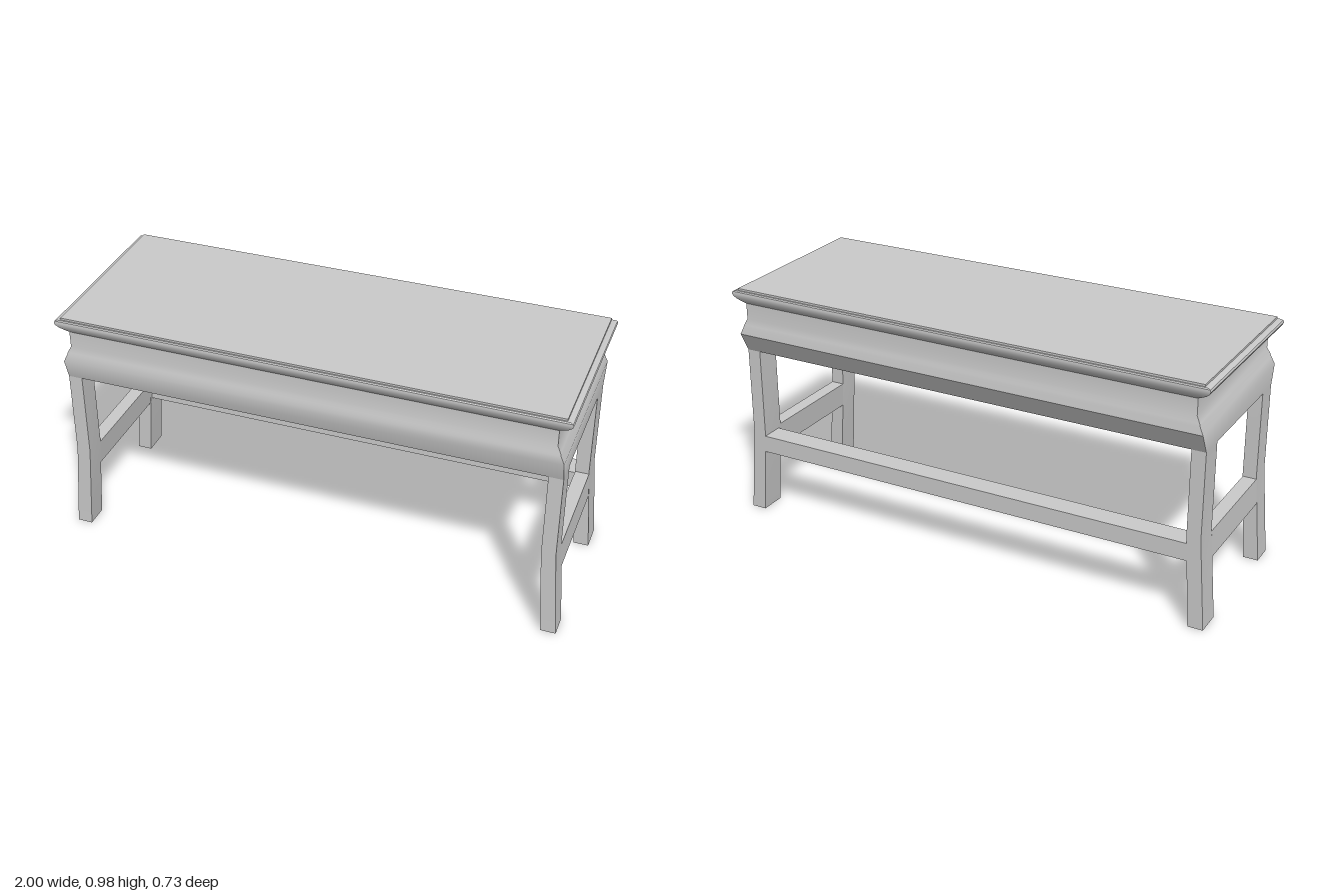
import * as THREE from 'three';
import { toCreasedNormals } from 'three/addons/utils/BufferGeometryUtils.js';

const material = new THREE.MeshStandardMaterial({ color: 0xcccccc });

// Closed solid through stacked rectangles, each [y, x0, x1, z0, z1], bottom to top
function loft(name, rings) {
  const pos = [], idx = [];
  for (const [y, x0, x1, z0, z1] of rings) {
    pos.push(x0, y, z1, x1, y, z1, x1, y, z0, x0, y, z0);
  }
  for (let r = 0; r < rings.length - 1; r++) {
    for (let i = 0; i < 4; i++) {
      const a = r * 4 + i, b = r * 4 + (i + 1) % 4;
      idx.push(a, b, b + 4, a, b + 4, a + 4);
    }
  }
  const t = (rings.length - 1) * 4;
  idx.push(0, 2, 1, 0, 3, 2, t, t + 1, t + 2, t, t + 2, t + 3);
  const geometry = new THREE.BufferGeometry();
  geometry.setAttribute('position', new THREE.Float32BufferAttribute(pos, 3));
  geometry.setIndex(idx);
  const mesh = new THREE.Mesh(toCreasedNormals(geometry, 0.5), material);
  mesh.name = name;
  return mesh;
}

// Ring on the right end reflected to the left end
const mirror = ([y, x0, x1, z0, z1]) => [y, -x1, -x0, z0, z1];

export function createModel() {
  const bench = new THREE.Group();
  bench.name = 'bench';

  // Moulded apron: [y, half length, back z, front z]
  const apron = [
    [0.705, 0.97, -0.315, 0.335],
    [0.785, 0.97, -0.357, 0.359],
    [0.815, 0.956, -0.353, 0.354],
    [0.825, 0.953, -0.351, 0.352],
    [0.85, 0.94, -0.345, 0.346],
    [0.915, 0.94, -0.345, 0.346],
  ];
  bench.add(loft('apron', apron.map(([y, x, zb, zf]) => [y, -x, x, zb, zf])));

  // Seat top with a rounded, overhanging edge: [y, half length, half depth]
  const seat = [
    [0.915, 0.94, 0.346],
    [0.923, 0.956, 0.352],
    [0.933, 0.975, 0.358],
    [0.944, 0.987, 0.363],
    [0.954, 0.991, 0.365],
    [0.962, 0.988, 0.364],
    [0.966, 0.978, 0.36],
    [0.967, 0.967, 0.356],
    [0.975, 0.967, 0.356],
  ];
  bench.add(loft('seatTop', seat.map(([y, x, z]) => [y, -x, x, -z, z])));

  // Legs, straight above and splayed below
  const frontLeg = [
    [0, 0.94, 1, 0.25, 0.34],
    [0.36, 0.915, 0.97, 0.246, 0.335],
    [0.71, 0.915, 0.97, 0.246, 0.335],
  ];
  const backLeg = [
    [0, 0.94, 1, -0.32, -0.214],
    [0.36, 0.915, 0.97, -0.316, -0.213],
    [0.71, 0.915, 0.97, -0.315, -0.213],
  ];
  // End rails follow the splay of the legs
  const endRail = [
    [0.247, 0.923, 0.979, -0.214, 0.247],
    [0.35, 0.916, 0.971, -0.214, 0.247],
  ];
  const parts = { FrontLeg: frontLeg, BackLeg: backLeg, EndRail: endRail };
  for (const [name, rings] of Object.entries(parts)) {
    bench.add(loft('left' + name, rings));
    bench.add(loft('right' + name, rings.map(mirror)));
  }

  // Long rail between the back legs
  bench.add(loft('backRail', [
    [0.265, -0.93, 0.93, -0.315, -0.225],
    [0.335, -0.925, 0.925, -0.315, -0.225],
  ]));

  return bench;
}
